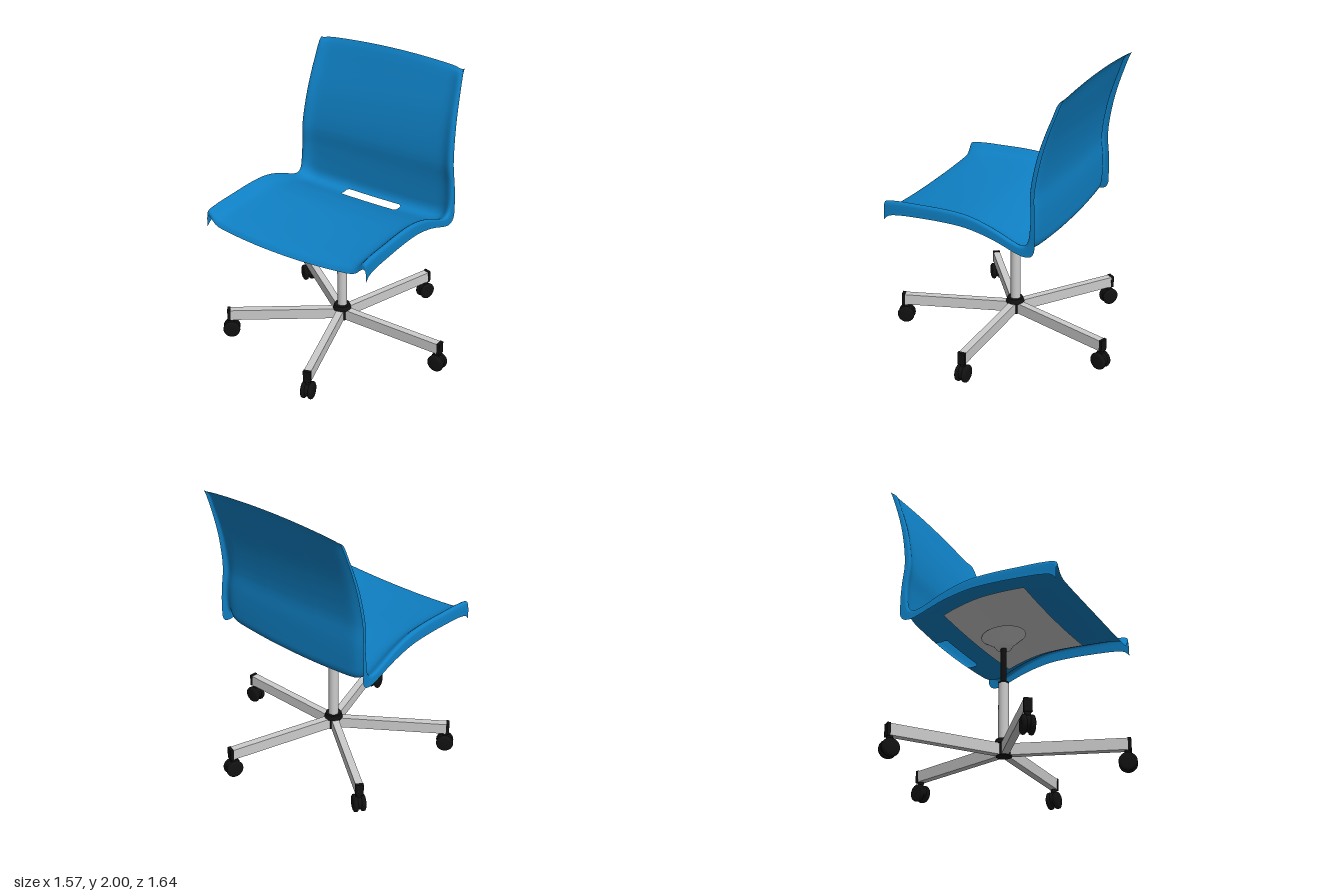
import * as THREE from 'three';

const CX = -0.074; // the chair sits slightly off centre because of its five-leg base
const mat = (color, side = THREE.FrontSide) => new THREE.MeshStandardMaterial({ color, side });

// Seat line as [z, y], front lip to top of back: along the middle, and along the raised side rims
const MIDDLE = [[0.69, 0.985], [0.66, 1.015], [0.6, 1.03], [0.4, 1.045], [0.2, 1.05], [0.05, 1.042], [-0.1, 1.01],
  [-0.19, 0.98], [-0.26, 0.952], [-0.315, 0.932], [-0.36, 0.923], [-0.405, 0.932], [-0.428, 0.965], [-0.432, 1.04],
  [-0.43, 1.2], [-0.422, 1.35], [-0.462, 1.6], [-0.53, 1.83], [-0.572, 1.96], [-0.592, 2.0]];
const RIM = [[0.69, 1.07], [0.685, 1.105], [0.6, 1.12], [0.4, 1.127], [0.2, 1.13], [0.05, 1.118], [-0.08, 1.083],
  [-0.18, 1.043], [-0.25, 1.01], [-0.305, 0.99], [-0.34, 0.986], [-0.368, 1.0], [-0.385, 1.035], [-0.394, 1.09],
  [-0.398, 1.2], [-0.388, 1.35], [-0.43, 1.6], [-0.505, 1.83], [-0.552, 1.965], [-0.583, 1.99]];
const LAST = MIDDLE.length - 1;
const toCurve = (pts) => new THREE.CatmullRomCurve3(pts.map(([z, y]) => new THREE.Vector3(0, y, z)));
const middle = toCurve(MIDDLE), rim = toCurve(RIM);

// Half cross-section: [fraction of half width, fraction of rim height]; it rolls over and down at the side
const SECTION = [[0, 0], [0.12, 0.005], [0.24, 0.02], [0.33, 0.04], [0.36, 0.05], [0.5, 0.1], [0.65, 0.17],
  [0.78, 0.25], [0.84, 0.33], [0.88, 0.45], [0.91, 0.63], [0.935, 0.82], [0.955, 0.95], [0.97, 1],
  [0.985, 0.97], [0.995, 0.87], [1, 0.7], [1, 0.35], [1.003, -0.05]];

// Point on the shell: s = position along the seat line, t = across, h = rise towards the rim
function shellPoint(s, t, h) {
  const p = middle.getPoint(s / LAST).lerp(rim.getPoint(s / LAST), h);
  const half = 0.635 - 0.06 * THREE.MathUtils.clamp((p.y - 1.1) / 0.87, 0, 1);
  p.x = CX + t * half;
  p.z -= 0.025 * t * t * THREE.MathUtils.smoothstep(p.z, 0.5, 0.68);
  p.y -= 0.025 * t * t * THREE.MathUtils.smoothstep(p.y, 1.75, 1.98);
  return p;
}

// Surface from a grid of points; cell(r, c) may return 'skip' or a corner index to leave as a triangle
function gridSurface(rows, cols, point, cell = () => null) {
  const pos = [], index = [];
  for (let r = 0; r < rows; r++) for (let c = 0; c < cols; c++) pos.push(...point(r, c).toArray());
  for (let r = 0; r < rows - 1; r++) for (let c = 0; c < cols - 1; c++) {
    const k = r * cols + c, quad = [k, k + 1, k + cols + 1, k + cols];
    const kind = cell(r, c);
    if (kind === 'skip') continue;
    if (kind !== null) index.push(quad[(kind + 3) % 4], quad[kind], quad[(kind + 1) % 4]);
    else index.push(quad[0], quad[1], quad[2], quad[0], quad[2], quad[3]);
  }
  const g = new THREE.BufferGeometry();
  g.setAttribute('position', new THREE.Float32BufferAttribute(pos, 3));
  g.setIndex(index);
  g.computeVertexNormals();
  return g;
}

function shellGeometry() {
  const section = [...SECTION.slice(1).reverse().map(([t, h]) => [-t, h]), ...SECTION];
  const STEP = 4, mid = SECTION.length - 1;
  // Hand slot bounds in grid cells, with cut corners
  const r0 = 9 * STEP, r1 = 11 * STEP - 1, c0 = mid - 4, c1 = mid + 3;
  const slot = (r, c) => {
    if (r < r0 || r > r1 || c < c0 || c > c1) return null;
    if (r === r0) { if (c === c0) return 0; if (c === c1) return 1; }
    if (r === r1) { if (c === c1) return 2; if (c === c0) return 3; }
    return 'skip';
  };
  return gridSurface(LAST * STEP + 1, section.length,
    (r, c) => shellPoint(r / STEP, ...section[c]), slot);
}

// Thin plate following the underside of the seat
function plateGeometry() {
  return gridSurface(17, 13, (r, c) => {
    const t = (c / 6 - 1) * 0.77;
    const p = shellPoint(3.1 + (r / 16) * 4, t, 0.41 * t * t);
    p.y -= 0.014;
    return p;
  });
}

function createCaster(black) {
  const caster = new THREE.Group();
  caster.name = 'caster';
  const profile = [[0, -0.018], [0.045, -0.018], [0.058, -0.011], [0.061, 0], [0.058, 0.011], [0.045, 0.018], [0, 0.018]];
  const wheelGeo = new THREE.LatheGeometry(profile.map(([x, y]) => new THREE.Vector2(x, y)), 24);
  wheelGeo.rotateX(Math.PI / 2);
  for (const side of [-1, 1]) {
    const wheel = new THREE.Mesh(wheelGeo, black);
    wheel.name = 'casterWheel';
    wheel.position.set(0, 0.061, side * 0.025);
    caster.add(wheel);
  }
  const hood = new THREE.Mesh(new THREE.CylinderGeometry(0.052, 0.052, 0.03, 20).rotateX(Math.PI / 2), black);
  hood.name = 'casterHood';
  hood.position.y = 0.067;
  const stem = new THREE.Mesh(new THREE.CylinderGeometry(0.02, 0.02, 0.05, 16), black);
  stem.name = 'casterStem';
  stem.position.y = 0.12;
  caster.add(hood, stem);
  return caster;
}

export function createModel() {
  const model = new THREE.Group();
  model.name = 'swivelChair';
  const blue = mat(0x0f80c4, THREE.DoubleSide), grey = mat(0xcccccc), black = mat(0x111111);
  const add = (parent, name, geo, material, x = 0, y = 0, z = 0) => {
    const mesh = new THREE.Mesh(geo, material);
    mesh.name = name;
    mesh.position.set(x, y, z);
    parent.add(mesh);
    return mesh;
  };
  const cyl = (r, h) => new THREE.CylinderGeometry(r, r, h, 28);

  add(model, 'seatShell', shellGeometry(), blue);
  add(model, 'seatPlate', plateGeometry(), mat(0xcccccc, THREE.DoubleSide));

  // Mounting cone, sheared to follow the slope of the plate
  const cone = new THREE.LatheGeometry([[0, 0.9], [0.052, 0.9], [0.07, 0.93], [0.15, 0.995]]
    .map(([x, y]) => new THREE.Vector2(x, y)), 32);
  const cp = cone.attributes.position;
  for (let i = 0; i < cp.count; i++) cp.setY(i, cp.getY(i) + 1.3 * cp.getZ(i) * (cp.getY(i) - 0.9));
  cone.computeVertexNormals();
  add(model, 'mountingCone', cone, mat(0xcccccc, THREE.DoubleSide), CX);

  // Column
  add(model, 'gasPiston', cyl(0.02, 0.3), black, CX, 0.77);
  add(model, 'columnTube', cyl(0.035, 0.42), grey, CX, 0.44);
  add(model, 'columnCollar', cyl(0.037, 0.01), black, CX, 0.65);

  // Five-leg base
  const base = new THREE.Group();
  base.name = 'base';
  base.position.set(CX, 0, 0.003);
  model.add(base);
  add(base, 'hub', cyl(0.052, 0.09), black, 0, 0.18);
  add(base, 'hubCap', new THREE.CylinderGeometry(0.055, 0.066, 0.035, 28), black, 0, 0.2325);
  for (let i = 0; i < 5; i++) {
    const leg = new THREE.Group();
    leg.name = 'leg';
    leg.rotation.y = (i * Math.PI * 2) / 5;
    add(leg, 'legBar', new THREE.BoxGeometry(0.77, 0.078, 0.05), grey, 0.415, 0.179);
    add(leg, 'legEndCap', new THREE.BoxGeometry(0.022, 0.086, 0.053), black, 0.81, 0.179);
    const caster = createCaster(black);
    caster.position.x = 0.795;
    leg.add(caster);
    base.add(leg);
  }
  return model;
}
